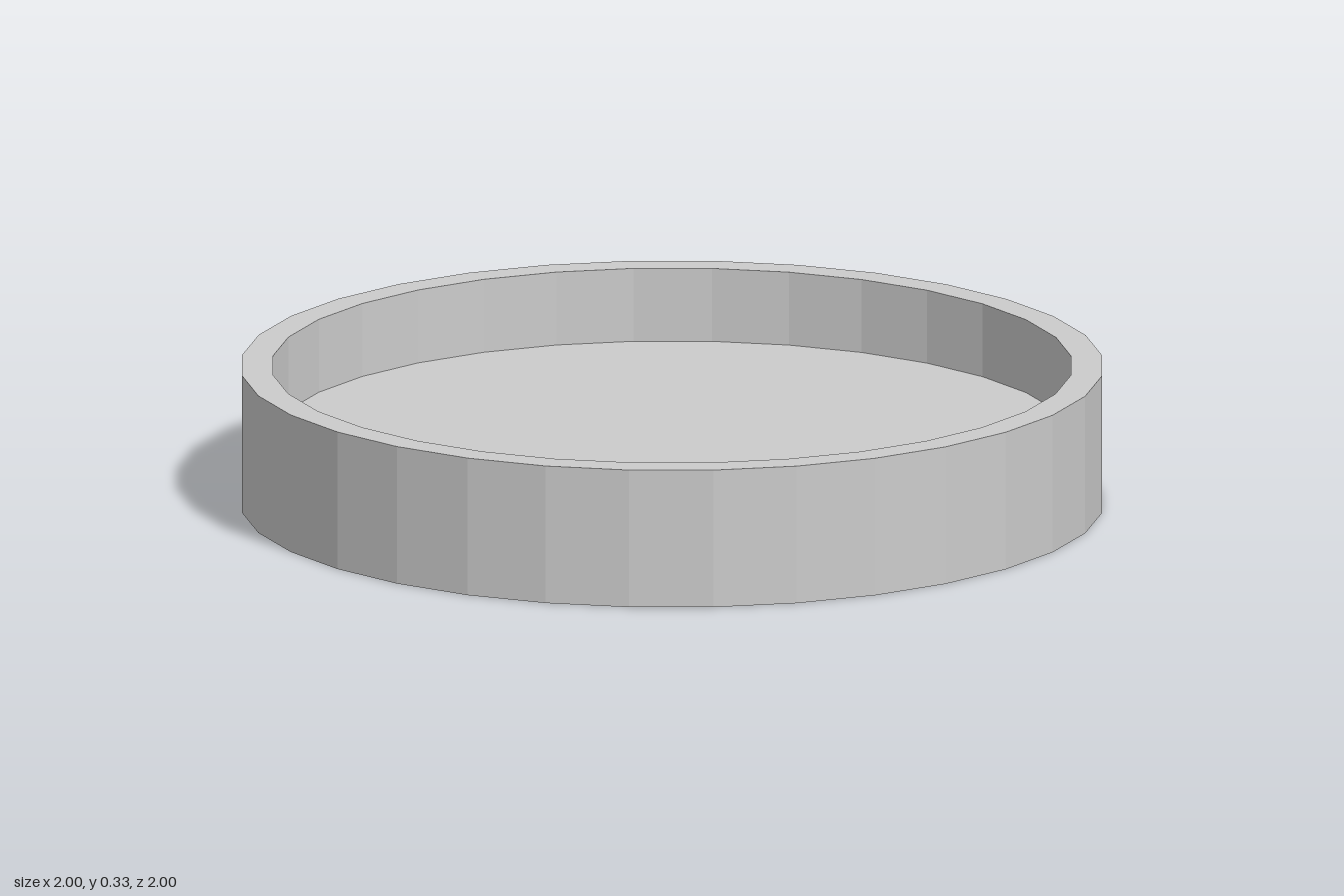
import * as THREE from 'three';

export function createModel() {
  const group = new THREE.Group();
  const sides = 32, outer = 1, inner = 0.928, height = 0.327, floorY = 0.153;

  // Closed profile: underside, outer wall, rim, inner wall, recessed floor
  const profile = [
    [0, 0], [outer, 0], [outer, height], [inner, height], [inner, floorY], [0, floorY],
  ].map(([r, y]) => new THREE.Vector2(r, y));

  const material = new THREE.MeshStandardMaterial({ color: 0xcccccc, flatShading: true });
  const dish = new THREE.Mesh(new THREE.LatheGeometry(profile, sides), material);
  dish.name = 'roundDish';
  group.add(dish);
  return group;
}
